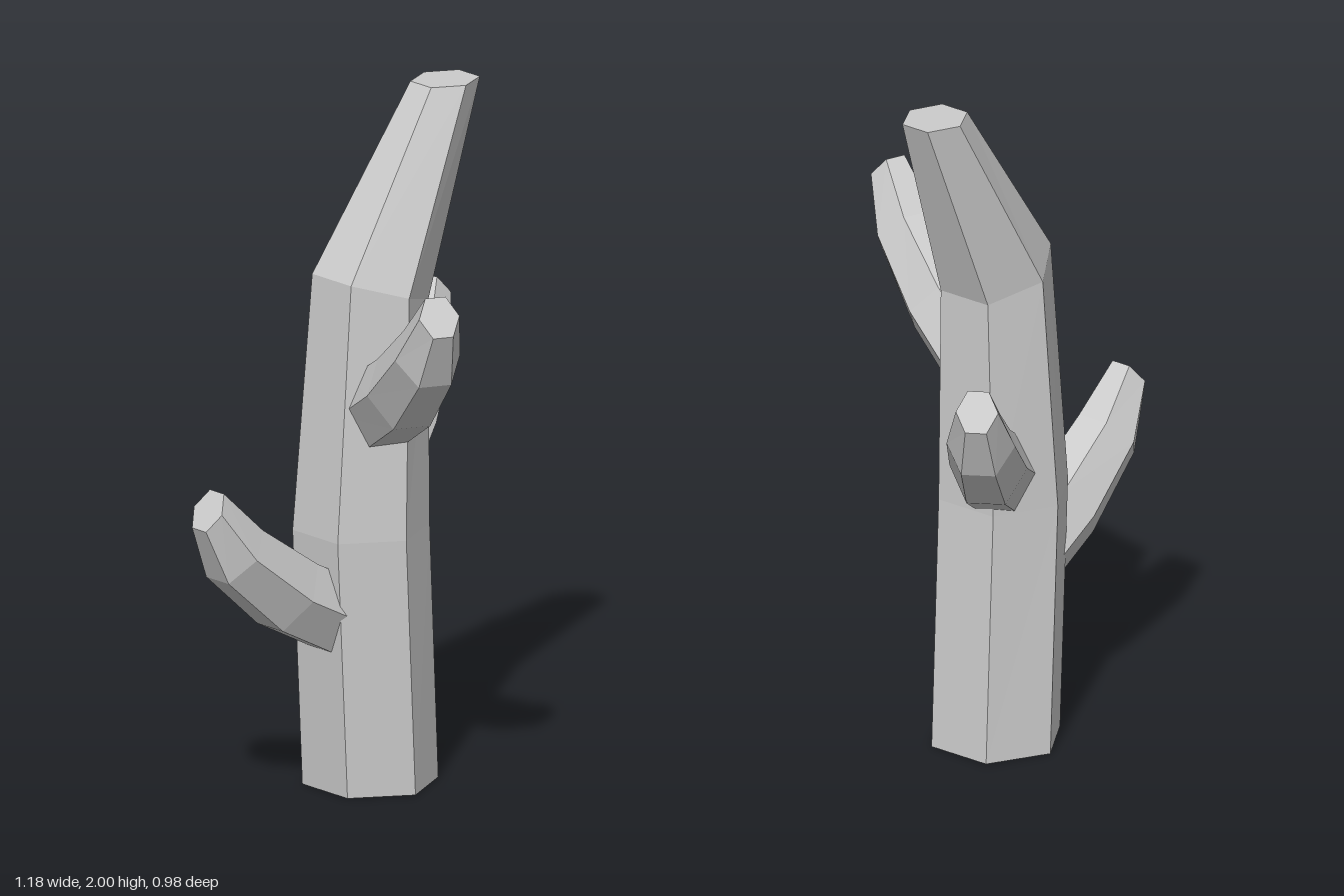
import * as THREE from 'three';

const SIDES = 6;

// Six-sided tube lofted through rings, open at the root and capped at the tip.
// Ring: [out, y, du, dy, half] = centre, in-plane half-extent vector, half-width along z.
function limb(name, rings) {
  const material = new THREE.MeshStandardMaterial({
    color: 0xcccccc, flatShading: true, side: THREE.DoubleSide,
  });
  const corner = ([out, y, du, dy, half], i) => {
    const a = ((i + 0.5) * 2 * Math.PI) / SIDES;
    const c = Math.cos(a) / Math.cos(Math.PI / SIDES);
    return [out + c * du, y + c * dy, Math.sin(a) * half];
  };
  const pos = [];
  for (let r = 0; r < rings.length - 1; r++) {
    for (let i = 0; i < SIDES; i++) {
      const b0 = corner(rings[r], i), b1 = corner(rings[r], i + 1);
      const t0 = corner(rings[r + 1], i), t1 = corner(rings[r + 1], i + 1);
      pos.push(...b0, ...t0, ...b1, ...b1, ...t0, ...t1);
    }
  }
  // Tip cap
  const tip = rings[rings.length - 1];
  for (let i = 0; i < SIDES; i++) {
    pos.push(tip[0], tip[1], 0, ...corner(tip, i + 1), ...corner(tip, i));
  }
  const geometry = new THREE.BufferGeometry();
  geometry.setAttribute('position', new THREE.Float32BufferAttribute(pos, 3));
  geometry.computeVertexNormals();
  const mesh = new THREE.Mesh(geometry, material);
  mesh.name = name;
  return mesh;
}

export function createModel() {
  const tree = new THREE.Group();
  tree.name = 'tree';

  // Trunk, bending toward +x at the top
  const trunk = limb('trunk', [
    [0.038, 0, 0.168, 0, 0.195],
    [0.004, 0.75, 0.17, 0, 0.195],
    [0.038, 1.445, 0.143, -0.045, 0.168],
    [0.315, 2, 0.09, 0, 0.09],
  ]);
  trunk.position.z = -0.11;
  tree.add(trunk);

  // Three identical upturned branches at different heights and headings
  const branchRings = [
    [0.03, 0.48, 0.05, -0.095, 0.11],
    [0.265, 0.602, 0.065, -0.086, 0.11],
    [0.462, 0.757, 0.063, -0.067, 0.097],
    [0.56, 0.9, 0.033, -0.05, 0.06],
  ];
  const branches = [
    ['lowBranch', 180, 0, 0, -0.113],
    ['middleBranch', 32, 0.07, 0.367, -0.145],
    ['highBranch', -111, 0.02, 0.615, -0.08],
  ];
  for (const [name, heading, x, y, z] of branches) {
    const branch = limb(name, branchRings);
    branch.position.set(x, y, z);
    branch.rotation.y = THREE.MathUtils.degToRad(heading);
    tree.add(branch);
  }
  return tree;
}
